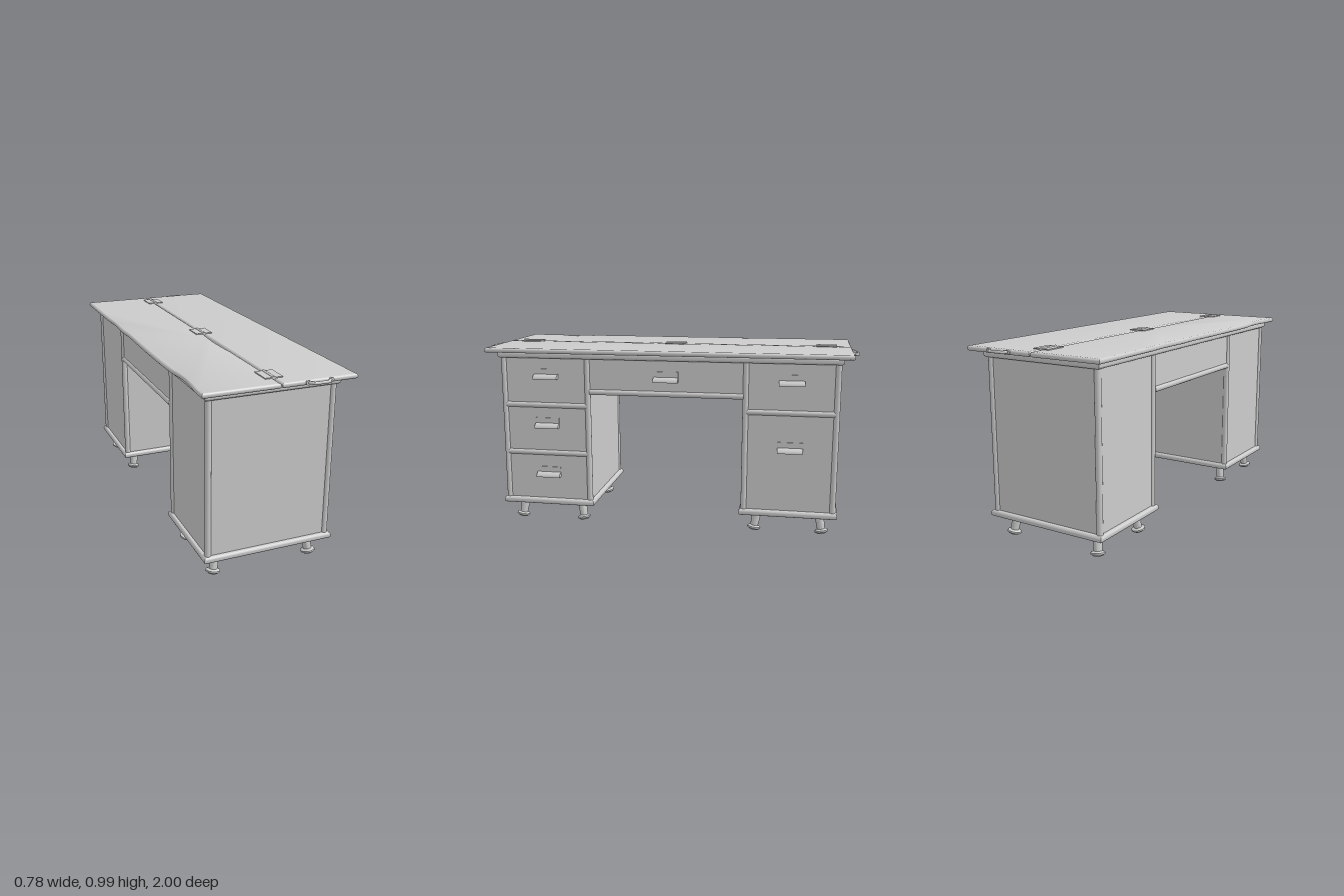
import * as THREE from 'three';
import { toCreasedNormals } from 'three/addons/utils/BufferGeometryUtils.js';

const material = new THREE.MeshStandardMaterial({ color: 0xcccccc });
const thin = new THREE.MeshStandardMaterial({ color: 0xcccccc, side: THREE.DoubleSide });

function add(parent, name, geometry, mat = material) {
  const mesh = new THREE.Mesh(geometry, mat);
  mesh.name = name;
  parent.add(mesh);
  return mesh;
}

// Box given by its limits on each axis
function box(parent, name, x0, x1, y0, y1, z0, z1) {
  const g = new THREE.BoxGeometry(x1 - x0, y1 - y0, z1 - z0);
  g.translate((x0 + x1) / 2, (y0 + y1) / 2, (z0 + z1) / 2);
  return add(parent, name, g);
}

// Horizontal board with rounded edges, from an outline of [x, z] points
function board(parent, name, outline, y0, y1, r) {
  const shape = new THREE.Shape(outline.map(([x, z]) => new THREE.Vector2(x, z)));
  const g = new THREE.ExtrudeGeometry(shape, {
    depth: y1 - y0 - 2 * r, bevelEnabled: true, bevelThickness: r,
    bevelSize: r, bevelOffset: -r, bevelSegments: 5,
  });
  g.rotateX(Math.PI / 2);
  g.translate(0, y1 - r, 0);
  return add(parent, name, toCreasedNormals(g, 0.6));
}

const rect = (x0, x1, z0, z1) => [[x0, z0], [x1, z0], [x1, z1], [x0, z1]];

// Round moulding running along z
function rail(parent, name, x, y, z0, z1, r = 0.016) {
  const g = new THREE.CylinderGeometry(r, r, z1 - z0, 20);
  g.rotateX(Math.PI / 2);
  add(parent, name, g).position.set(x, y, (z0 + z1) / 2);
}

// Back plate with a hollow quarter-round cup below it
function cupPull(parent, y, z) {
  const pull = new THREE.Group();
  pull.name = 'drawerPull';
  const w = 0.132, a = 0.032, b = 0.026;
  box(pull, 'pullPlate', -0.004, 0.004, 0, 0.055, -w / 2, w / 2);
  const shell = new THREE.CylinderGeometry(1, 1, w, 14, 1, true, 0, Math.PI / 2);
  shell.rotateX(-Math.PI / 2);
  shell.scale(a, b, 1);
  add(pull, 'pullCup', shell, thin);
  for (const s of [-1, 1]) {
    const end = new THREE.CircleGeometry(1, 14, 0, Math.PI / 2);
    end.scale(a, b, 1);
    add(pull, 'pullCupEnd', end, thin).position.z = s * w / 2;
  }
  pull.position.set(0.313, y, z);
  parent.add(pull);
}

// Splayed leg with a disc foot, leaning from its top to its foot
function leg(parent, x, z, sx, sz) {
  const profile = [[0, 0], [0.024, 0], [0.03, 0.005], [0.036, 0.009], [0.036, 0.017],
    [0.03, 0.021], [0.021, 0.024], [0.026, 0.125], [0, 0.125]];
  const g = new THREE.LatheGeometry(profile.map(([r, y]) => new THREE.Vector2(r, y)), 24);
  const mesh = add(parent, 'leg', toCreasedNormals(g.toNonIndexed(), 0.5));
  const lean = new THREE.Vector3(-0.017 * sx, 0.115, -0.02 * sz).normalize();
  mesh.quaternion.setFromUnitVectors(new THREE.Vector3(0, 1, 0), lean);
  mesh.position.set(x, 0.007, z);
}

function pedestal(parent, name, side, rails, pulls) {
  const group = new THREE.Group();
  group.name = name;
  const span = (a, b) => (side > 0 ? [a, b] : [-b, -a]);
  box(group, 'cabinet', -0.33, 0.312, 0.125, 0.945, ...span(0.418, 0.9));
  board(group, 'base', rect(-0.35, 0.333, ...span(0.4, 0.92)), 0.108, 0.142, 0.014);
  for (const x of [-0.325, 0.306]) {
    for (const z of [0.426, 0.894]) {
      add(group, 'cornerPost', new THREE.CylinderGeometry(0.016, 0.016, 0.81, 20))
        .position.set(x, 0.535, side * z);
    }
  }
  for (const y of rails) rail(group, 'drawerRail', 0.306, y, ...span(0.43, 0.89));
  for (const y of pulls) cupPull(group, y, side > 0 ? 0.655 : -0.663);
  for (const [x, sx] of [[-0.277, -1], [0.252, 1]]) {
    leg(group, x, side * 0.845, sx, side);
    leg(group, x, side * 0.478, sx, -side);
  }
  parent.add(group);
}

// Carrying handle on one end of the top
function endHandle(parent, side) {
  const path = new THREE.CurvePath();
  const pts = [[0.125, 0.962], [0.15, 0.992], [0.225, 0.992], [0.25, 0.962]]
    .map(([x, z]) => new THREE.Vector3(x, 0.974, side * z));
  for (let i = 0; i < 3; i++) path.add(new THREE.LineCurve3(pts[i], pts[i + 1]));
  add(parent, 'endHandle', new THREE.TubeGeometry(path, 36, 0.0075, 10));
  for (const x of [0.128, 0.248]) {
    const g = new THREE.CylinderGeometry(0.012, 0.012, 0.008, 16);
    g.rotateX(Math.PI / 2);
    add(parent, 'handleRosette', g).position.set(x, 0.974, side * 0.971);
  }
}

export function createModel() {
  const desk = new THREE.Group();
  desk.name = 'desk';

  // Two pedestals, three drawers and two drawers
  pedestal(desk, 'frontPedestal', 1, [0.67, 0.403], [0.815, 0.545, 0.268]);
  pedestal(desk, 'backPedestal', -1, [0.67], [0.815, 0.46]);

  // Middle drawer box over the knee space
  box(desk, 'middleDrawer', -0.33, 0.312, 0.74, 0.945, -0.42, 0.42);
  for (const x of [-0.325, 0.306]) rail(desk, 'middleRail', x, 0.75, -0.415, 0.415);
  cupPull(desk, 0.815, -0.005);

  // Moulding under the top
  board(desk, 'cornice', rect(-0.35, 0.333, -0.92, 0.92), 0.927, 0.963, 0.014);

  // Top in two leaves; one has a worn, wavy edge
  board(desk, 'plainLeaf', rect(0.001, 0.39, -0.97, 0.97), 0.96, 0.986, 0.012);
  const wavy = new THREE.SplineCurve([[-0.385, 0.97], [-0.383, 0.88], [-0.373, 0.75],
    [-0.376, 0.66], [-0.389, 0.52], [-0.39, 0.2], [-0.385, -0.1], [-0.389, -0.22],
    [-0.384, -0.4], [-0.39, -0.55], [-0.39, -0.97]].map((p) => new THREE.Vector2(...p)));
  const seam = [[-0.004, -0.97], [-0.004, 0.06], [-0.01, 0.14], [-0.013, 0.22],
    [-0.011, 0.33], [-0.005, 0.41], [-0.004, 0.97]];
  const outline = [...seam, ...wavy.getPoints(40).map((p) => [p.x, p.y])];
  board(desk, 'wornLeaf', outline, 0.96, 0.986, 0.012);

  // Hinges across the seam
  for (const z of [-0.835, -0.005, 0.835]) {
    box(desk, 'hingePlate', -0.047, 0.043, 0.984, 0.991, z - 0.055, z + 0.055);
    rail(desk, 'hingeKnuckle', -0.002, 0.987, z - 0.055, z + 0.055, 0.009);
  }
  for (const side of [-1, 1]) endHandle(desk, side);
  return desk;
}
